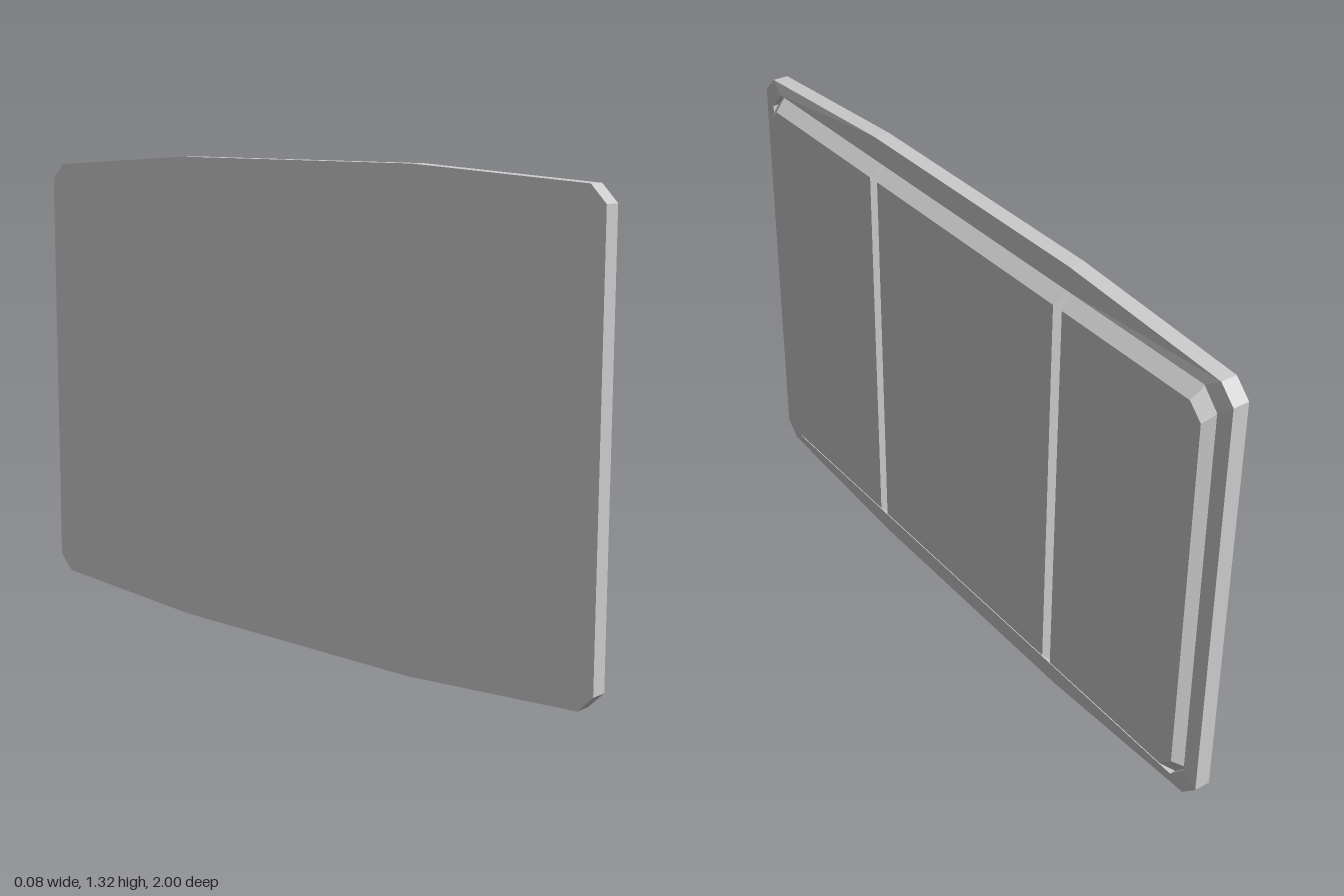
import * as THREE from 'three';

const MID = 0.6575; // mid height of the board

// Skin a stack of [x, loop] sections; loops hold [z, y] points running from +y towards +z.
function loft(name, sections, material) {
  const pos = [];
  const put = (x, p) => pos.push(x, p[1], p[0]);
  const cap = (x, loop, flip) => {
    for (let i = 1; i < loop.length - 1; i++) {
      const tri = [loop[0], loop[i], loop[i + 1]];
      if (flip) tri.reverse();
      tri.forEach((p) => put(x, p));
    }
  };
  for (let s = 0; s < sections.length - 1; s++) {
    const [xa, a] = sections[s];
    const [xb, b] = sections[s + 1];
    for (let i = 0; i < a.length; i++) {
      const j = (i + 1) % a.length;
      put(xa, a[i]); put(xa, a[j]); put(xb, b[j]);
      put(xa, a[i]); put(xb, b[j]); put(xb, b[i]);
    }
  }
  const last = sections[sections.length - 1];
  cap(sections[0][0], sections[0][1], true);
  cap(last[0], last[1], false);
  const geo = new THREE.BufferGeometry();
  geo.setAttribute('position', new THREE.Float32BufferAttribute(pos, 3));
  geo.computeVertexNormals();
  const mesh = new THREE.Mesh(geo, material);
  mesh.name = name;
  return mesh;
}

// Full outline mirrored from one quarter of [z, height above middle]
function mirrorLoop(q) {
  const r = [...q].reverse();
  return [
    ...q.map(([z, h]) => [z, MID + h]),
    ...r.map(([z, h]) => [z, MID - h]),
    ...q.map(([z, h]) => [-z, MID - h]),
    ...r.map(([z, h]) => [-z, MID + h]),
  ];
}

// Rectangle from z0 to z1 (z1 > z0) with a corner cut on each end (0 = square)
function panelLoop(z0, z1, h, c0, c1) {
  const pts = [];
  const corner = (z, s, c, list) => {
    // list order: along the horizontal edge first, then the vertical edge
    const inward = z === z1 ? -c : c;
    const pair = c ? [[z + inward, MID + s * h], [z, MID + s * (h - c)]] : [[z, MID + s * h]];
    pts.push(...(list ? pair : pair.reverse()));
  };
  corner(z1, 1, c1, true);
  corner(z1, -1, c1, false);
  corner(z0, -1, c0, true);
  corner(z0, 1, c0, false);
  return pts;
}

export function createModel() {
  const group = new THREE.Group();
  group.name = 'panelledBoard';
  const mat = new THREE.MeshStandardMaterial({ color: 0xcccccc, flatShading: true });

  // Backing board with a sloped rim around a shallow recess
  const outer = mirrorLoop([[0.42, 0.6575], [0.955, 0.625], [1, 0.58]]);
  const inner = mirrorLoop([[0.42, 0.595], [0.91, 0.595], [0.957, 0.545]]);
  group.add(loft('backingBoard', [
    [-0.04, outer], [0.005, outer], [0.01, inner], [-0.006, inner],
  ], mat));

  // Three raised panels: base z range, top z range, corner cuts
  const panels = [
    ['leftPanel', 0.388, 0.957, 0.401, 0.935, 0, 0.05],
    ['middlePanel', -0.413, 0.38, -0.402, 0.367, 0, 0],
    ['rightPanel', -0.957, -0.421, -0.935, -0.436, 0.05, 0],
  ];
  for (const [name, b0, b1, t0, t1, c0, c1] of panels) {
    group.add(loft(name, [
      [-0.006, panelLoop(b0, b1, 0.595, c0, c1)],
      [0.035, panelLoop(t0, t1, 0.555, c0 * 0.8, c1 * 0.8)],
    ], mat));
  }
  return group;
}
